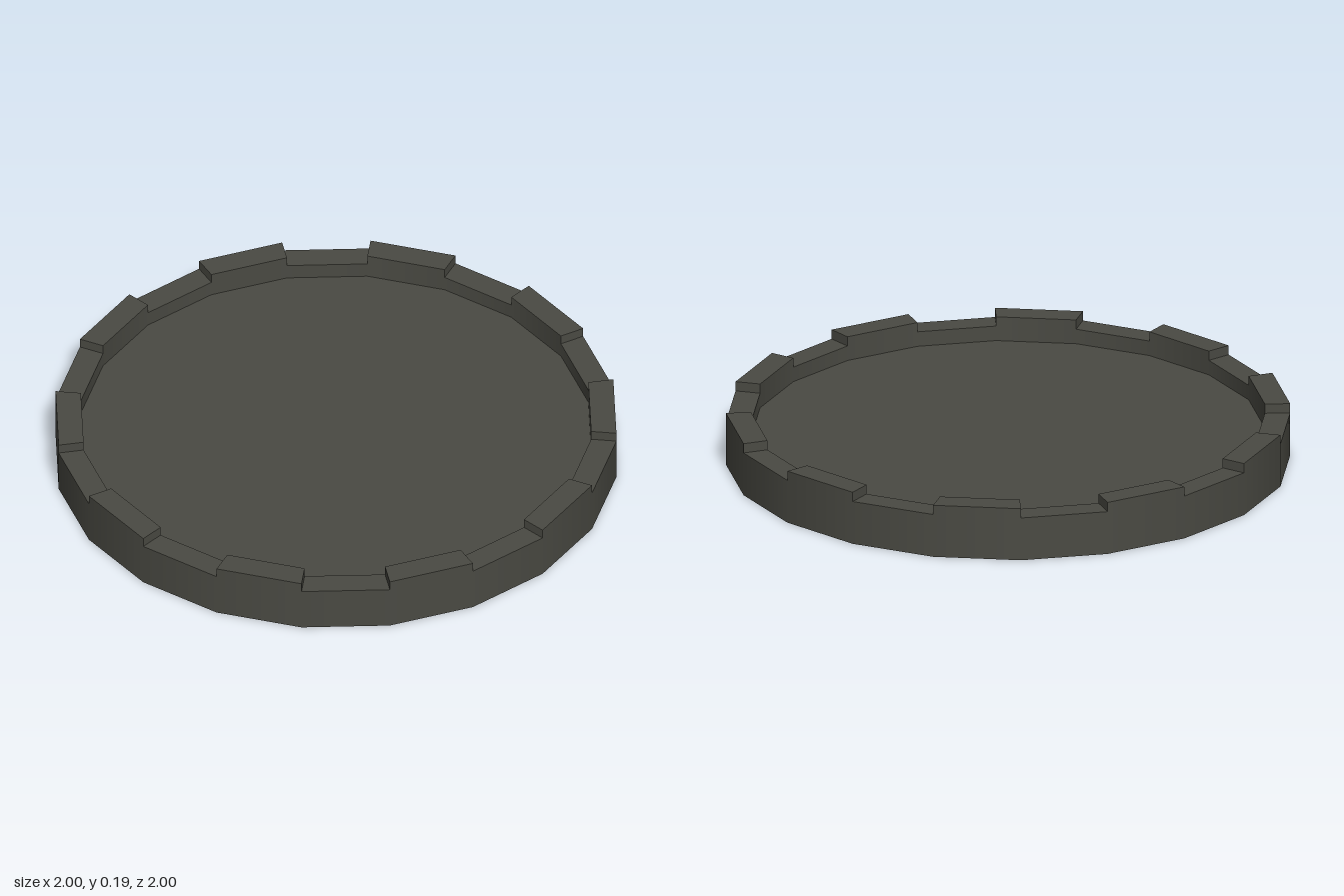
import * as THREE from 'three';

const SIDES = 20, OUTER = 1, INNER = 0.91;
const FLOOR = 0.105, LOW = 0.16, HIGH = 0.195;

// point on a circle, angle measured from +z towards +x
const at = (r, a, y) => new THREE.Vector3(r * Math.sin(a), y, r * Math.cos(a));

// collects four-cornered faces, listed counter-clockwise, with a normal per corner
function quadGeometry(quads) {
  const pos = [], nor = [];
  for (const { p, n } of quads) {
    for (const i of [0, 1, 2, 0, 2, 3]) {
      pos.push(...p[i].toArray());
      nor.push(...n[i].toArray());
    }
  }
  const g = new THREE.BufferGeometry();
  g.setAttribute('position', new THREE.Float32BufferAttribute(pos, 3));
  g.setAttribute('normal', new THREE.Float32BufferAttribute(nor, 3));
  return g;
}

export function createModel() {
  const group = new THREE.Group();
  const darkGrey = new THREE.MeshStandardMaterial({ color: 0x4a4a43 });
  darkGrey.name = 'darkGrey';

  const add = (name, geometry) => {
    const mesh = new THREE.Mesh(geometry, darkGrey);
    mesh.name = name;
    group.add(mesh);
  };

  const outerWall = [], innerWall = [], rimTop = [], notchEnds = [];
  const step = (Math.PI * 2) / SIDES;
  const up = new THREE.Vector3(0, 1, 0);

  for (let i = 0; i < SIDES; i++) {
    const a = i * step, b = a + step;
    const raised = i % 2 === 1;
    const top = raised ? HIGH : LOW;
    const na = at(1, a, 0), nb = at(1, b, 0);
    const ia = na.clone().negate(), ib = nb.clone().negate();

    // smooth walls, outside and inside
    outerWall.push({ p: [at(OUTER, a, 0), at(OUTER, b, 0), at(OUTER, b, top), at(OUTER, a, top)], n: [na, nb, nb, na] });
    innerWall.push({ p: [at(INNER, b, FLOOR), at(INNER, a, FLOOR), at(INNER, a, top), at(INNER, b, top)], n: [ib, ia, ia, ib] });

    // flat top of the rim
    rimTop.push({ p: [at(OUTER, a, top), at(OUTER, b, top), at(INNER, b, top), at(INNER, a, top)], n: [up, up, up, up] });

    // end faces of each raised tooth
    if (raised) {
      const ta = at(1, a - Math.PI / 2, 0), tb = at(1, b + Math.PI / 2, 0);
      notchEnds.push({ p: [at(INNER, a, LOW), at(OUTER, a, LOW), at(OUTER, a, HIGH), at(INNER, a, HIGH)], n: [ta, ta, ta, ta] });
      notchEnds.push({ p: [at(OUTER, b, LOW), at(INNER, b, LOW), at(INNER, b, HIGH), at(OUTER, b, HIGH)], n: [tb, tb, tb, tb] });
    }
  }

  add('outerWall', quadGeometry(outerWall));
  add('innerWall', quadGeometry(innerWall));
  add('rimTop', quadGeometry(rimTop));
  add('notchEnds', quadGeometry(notchEnds));

  // recessed floor and underside
  add('floor', new THREE.CircleGeometry(INNER, SIDES).rotateX(-Math.PI / 2).translate(0, FLOOR, 0));
  add('underside', new THREE.CircleGeometry(OUTER, SIDES).rotateX(Math.PI / 2));

  return group;
}
